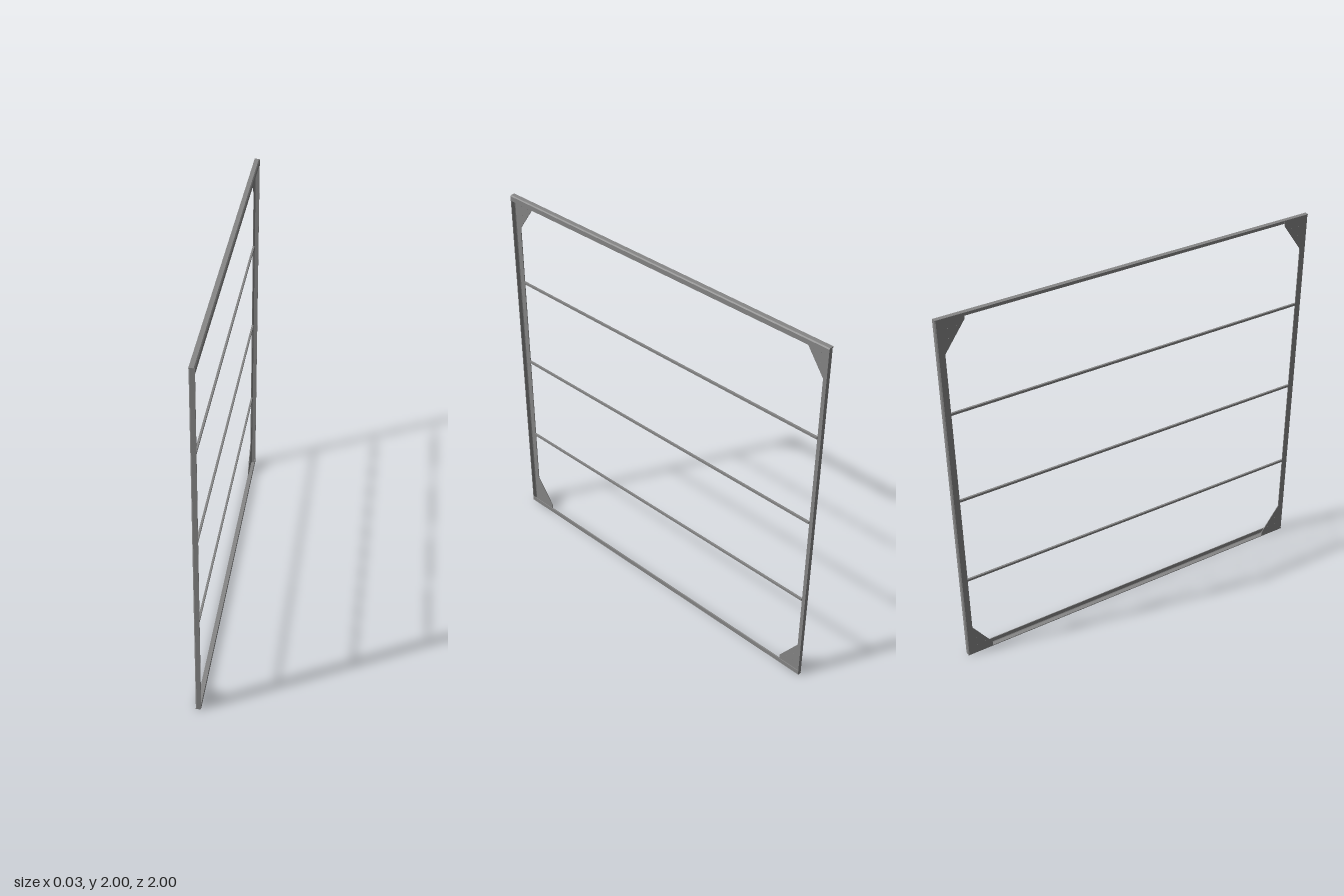
import * as THREE from 'three';

const material = new THREE.MeshStandardMaterial({ color: 0x868686, flatShading: true });
const W = 0.027;          // depth of the frame along x
const T = 0.004;          // sheet thickness
const RAIL_LEG = 0.03;    // flange of the horizontal angles
const UPRIGHT_LEG = 0.035; // flange of the upright angles

// Angle bar along z: outer wall across x, flange at one edge; sx and sy mirror the section
function angleBar(sx, sy, leg, length) {
  const section = [[0.005, 0], [W, 0], [W, T], [T + 0.003, T], [T, T + 0.003], [T, leg], [0, leg], [0, 0.005]];
  const shape = new THREE.Shape(section.map(([a, b]) => new THREE.Vector2(sx * (a - W / 2), sy * b)));
  return new THREE.ExtrudeGeometry(shape, { depth: length, bevelEnabled: false }).translate(0, 0, -length / 2);
}

// Corner plate, right angle at the origin, legs along -z and +y, with bolt holes
function gussetPlate() {
  const outline = [[0, 0], [0.105, 0], [0.105, RAIL_LEG - T], [0, 0.176]];
  const shape = new THREE.Shape(outline.map(([x, y]) => new THREE.Vector2(x, y)));
  for (const [x, y] of [[0.02, 0.05], [0.065, 0.05], [0.02, 0.1]]) {
    shape.holes.push(new THREE.Path().absarc(x, y, 0.002, 0, Math.PI * 2, true));
  }
  const geometry = new THREE.ExtrudeGeometry(shape, { depth: T, bevelEnabled: false, curveSegments: 6 });
  return geometry.translate(0, 0, -T / 2).rotateY(Math.PI / 2);
}

export function createModel() {
  const model = new THREE.Group();
  const add = (name, geometry, x, y, z) => {
    const mesh = new THREE.Mesh(geometry, material);
    mesh.name = name;
    mesh.position.set(x, y, z);
    model.add(mesh);
    return mesh;
  };

  // Full-length rails, flange on the +x side
  add('bottomRail', angleBar(-1, 1, RAIL_LEG, 2), 0, 0, 0);
  add('topRail', angleBar(-1, -1, RAIL_LEG, 2), 0, 2, 0);

  // Uprights between them, flange on the -x side
  for (const end of [1, -1]) {
    const upright = angleBar(1, -end, UPRIGHT_LEG, 2 - 2 * T).rotateX(Math.PI / 2);
    add(end > 0 ? 'frontUpright' : 'backUpright', upright, 0, 1, end);
  }

  // Thin cross bars between the upright flanges
  const crossBar = new THREE.BoxGeometry(0.01, 0.012, 2 - 2 * UPRIGHT_LEG);
  for (const y of [0.5, 1, 1.5]) add('crossBar', crossBar, -W / 2 + 0.005, y, 0);

  // Corner gussets in line with the upright flanges
  const plate = gussetPlate();
  for (const end of [1, -1]) {
    for (const up of [1, -1]) {
      const gusset = add('cornerGusset', plate, (T - W) / 2, up > 0 ? T : 2 - T, end * (1 - UPRIGHT_LEG));
      gusset.rotation.set(up > 0 ? 0 : Math.PI, end * up > 0 ? 0 : Math.PI, 0);
    }
  }
  return model;
}
